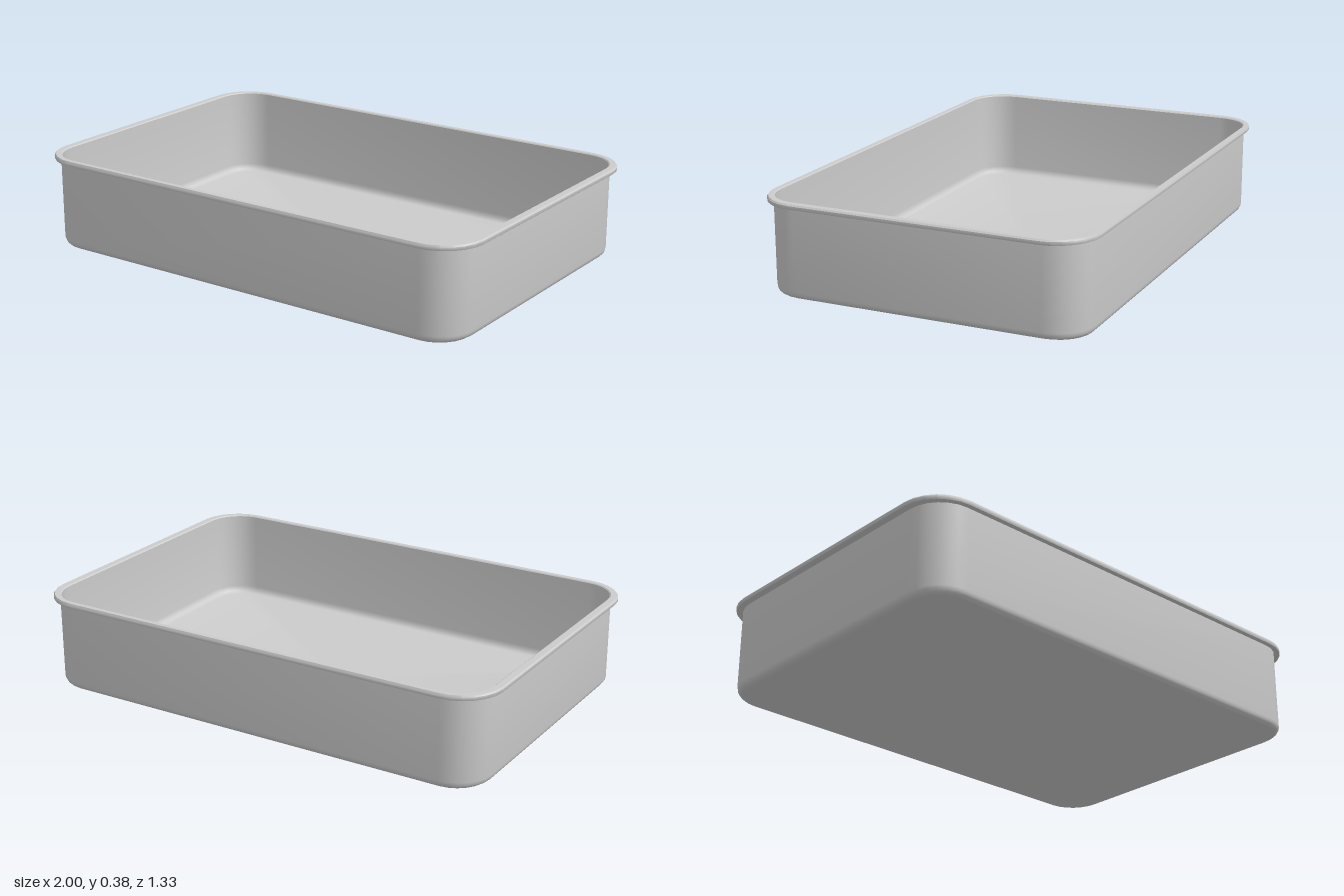
import * as THREE from 'three';
import { toCreasedNormals } from 'three/addons/utils/BufferGeometryUtils.js';

const HALF_X = 1, HALF_Z = 0.667;   // outer half sizes at the rim
const RADIUS_X = 0.175, RADIUS_Z = 0.167;
const Z_INSET = 0.72;               // insets are slightly smaller along z
const CORNER_STEPS = 6;

// Rounded-rectangle loop at a given inset and height
function ring(inset, y) {
  const points = [];
  const rx = RADIUS_X - inset, rz = RADIUS_Z - inset * Z_INSET;
  const cx = HALF_X - RADIUS_X, cz = HALF_Z - RADIUS_Z;
  const signs = [[1, 1], [-1, 1], [-1, -1], [1, -1]];
  signs.forEach(([sx, sz], corner) => {
    for (let i = 0; i <= CORNER_STEPS; i++) {
      const a = (corner + i / CORNER_STEPS) * Math.PI / 2;
      points.push([sx * cx + rx * Math.cos(a), y, sz * cz + rz * Math.sin(a)]);
    }
  });
  return points;
}

// Skin a list of [inset, y] rings; optional flat caps close the ends
function skin(profile, capStart, capEnd) {
  const rings = profile.map(([inset, y]) => ring(inset, y));
  const n = rings[0].length;
  const centre = (y) => Array.from({ length: n }, () => [0, y, 0]);
  if (capStart) rings.unshift(centre(profile[0][1]));
  if (capEnd) rings.push(centre(profile[profile.length - 1][1]));
  const positions = [];
  const last = rings.length - 2;
  for (let r = 0; r <= last; r++) {
    for (let i = 0; i < n; i++) {
      const j = (i + 1) % n;
      const a = rings[r][i], b = rings[r][j], c = rings[r + 1][j], d = rings[r + 1][i];
      if (!(capStart && r === 0)) positions.push(...a, ...d, ...b);
      if (!(capEnd && r === last)) positions.push(...b, ...d, ...c);
    }
  }
  const geometry = new THREE.BufferGeometry();
  geometry.setAttribute('position', new THREE.Float32BufferAttribute(positions, 3));
  return toCreasedNormals(geometry, Math.PI / 5);
}

// Quarter-round [inset, y] points from the floor edge up to the wall
function fillet(wallInset, floorY, radius, steps = 4) {
  return Array.from({ length: steps + 1 }, (_, i) => {
    const a = i / steps * Math.PI / 2;
    return [wallInset + radius * (1 - Math.sin(a)), floorY + radius * (1 - Math.cos(a))];
  });
}

export function createModel() {
  const model = new THREE.Group();
  model.name = 'tray';
  const material = new THREE.MeshStandardMaterial({ color: 0xcccccc, side: THREE.DoubleSide });
  const add = (name, geometry) => {
    const mesh = new THREE.Mesh(geometry, material);
    mesh.name = name;
    model.add(mesh);
  };

  // Outside of the pan: underside, rounded bottom edge and wall
  add('outerShell', skin([...fillet(0.03, 0, 0.03), [0.03, 0.36]], true, false));

  // Projecting lip around the top
  add('rim', skin([
    [0.03, 0.36], [0.002, 0.36], [0, 0.363], [0, 0.374],
    [0.005, 0.38], [0.031, 0.38], [0.036, 0.376],
  ], false, false));

  // Inside of the pan: wall, rounded lower edge and floor
  add('innerShell', skin([[0.036, 0.376], ...fillet(0.036, 0.008, 0.03).reverse()], false, true));

  return model;
}
